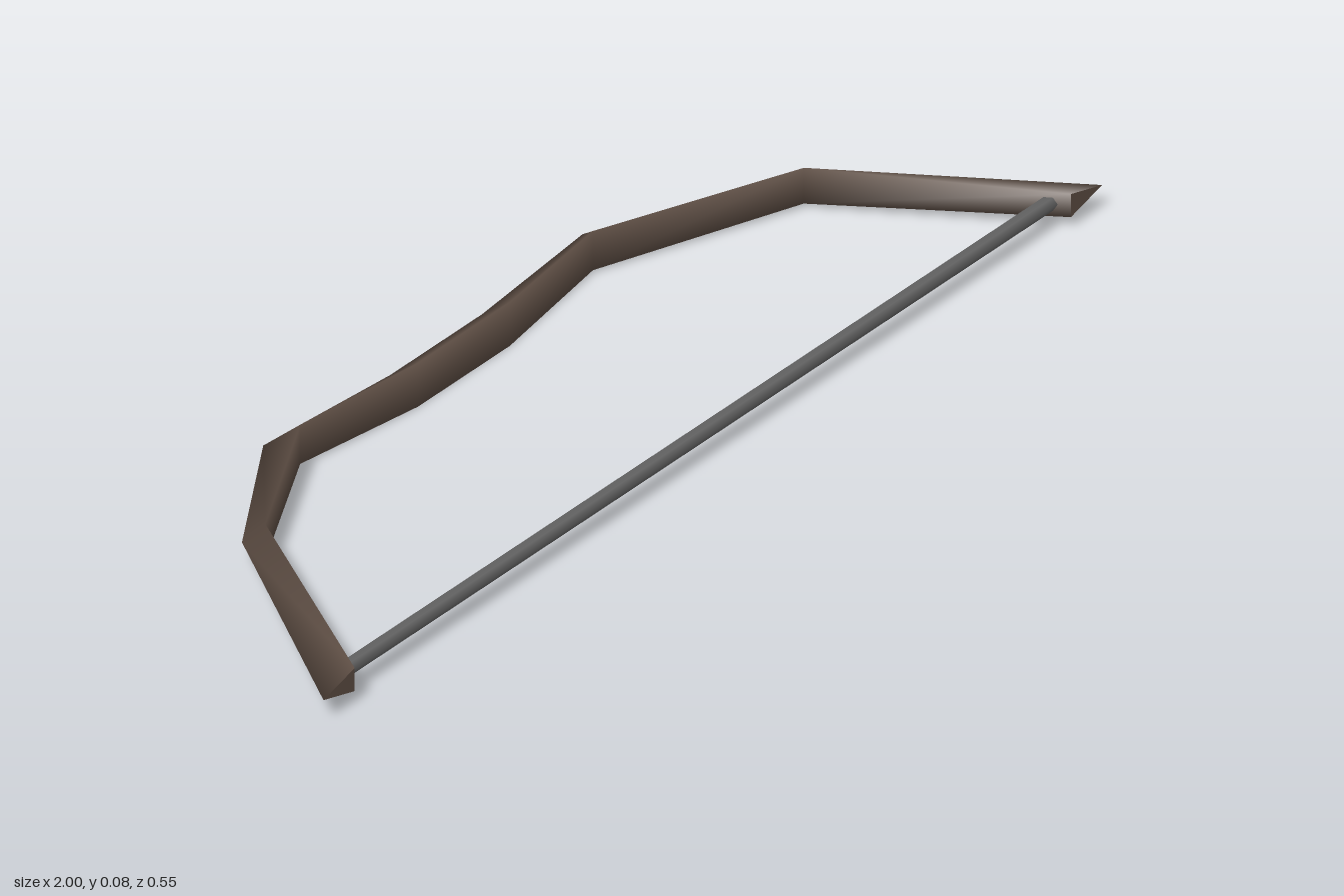
import * as THREE from 'three';

const MID_Y = 0.038;

// Stations along the bow: outer ridge x, z; inner face x, z; half height of the inner face
const STATIONS = [
  [-1.0, 0.272, -0.92, 0.272, 0.02],
  [-0.674, -0.12, -0.652, -0.092, 0.031],
  [-0.41, -0.273, -0.374, -0.23, 0.034],
  [-0.118, -0.248, -0.118, -0.196, 0.038],
  [0.118, -0.248, 0.118, -0.196, 0.038],
  [0.41, -0.273, 0.378, -0.23, 0.034],
  [0.748, -0.12, 0.731, -0.092, 0.031],
  [1.0, 0.272, 0.92, 0.272, 0.02],
];

// Triangular section: outer ridge, upper inner edge, lower inner edge
function section([ox, oz, ix, iz, h]) {
  return [ox, MID_Y, oz, ix, MID_Y + h, iz, ix, MID_Y - h, iz];
}

function buildGeometry(positions, indices) {
  const g = new THREE.BufferGeometry();
  g.setAttribute('position', new THREE.Float32BufferAttribute(positions, 3));
  g.setIndex(indices);
  g.computeVertexNormals();
  return g;
}

export function createModel() {
  const wood = new THREE.MeshStandardMaterial({ color: 0x5f4f45 });
  wood.name = 'dark wood';
  const cord = new THREE.MeshStandardMaterial({ color: 0x646464 });
  cord.name = 'grey cord';

  const group = new THREE.Group();
  group.name = 'bow';
  const add = (name, geometry, material) => {
    const mesh = new THREE.Mesh(geometry, material);
    mesh.name = name;
    group.add(mesh);
    return mesh;
  };

  // Limbs and grip: one smooth loft through the stations
  const indices = [];
  for (let s = 0; s < STATIONS.length - 1; s++) {
    for (let i = 0; i < 3; i++) {
      const a = s * 3 + i;
      const b = s * 3 + ((i + 1) % 3);
      indices.push(a, b, a + 3, b, b + 3, a + 3);
    }
  }
  add('limbs', buildGeometry(STATIONS.flatMap(section), indices), wood);

  // Flat cut ends of the limbs
  add('rightTip', buildGeometry(section(STATIONS[0]), [0, 2, 1]), wood);
  add('leftTip', buildGeometry(section(STATIONS[STATIONS.length - 1]), [0, 1, 2]), wood);

  // String stretched between the tips
  const string = add('string', new THREE.CylinderGeometry(0.013, 0.013, 1.84, 6), cord);
  string.rotation.z = Math.PI / 2;
  string.position.set(0, MID_Y, 0.241);

  return group;
}
